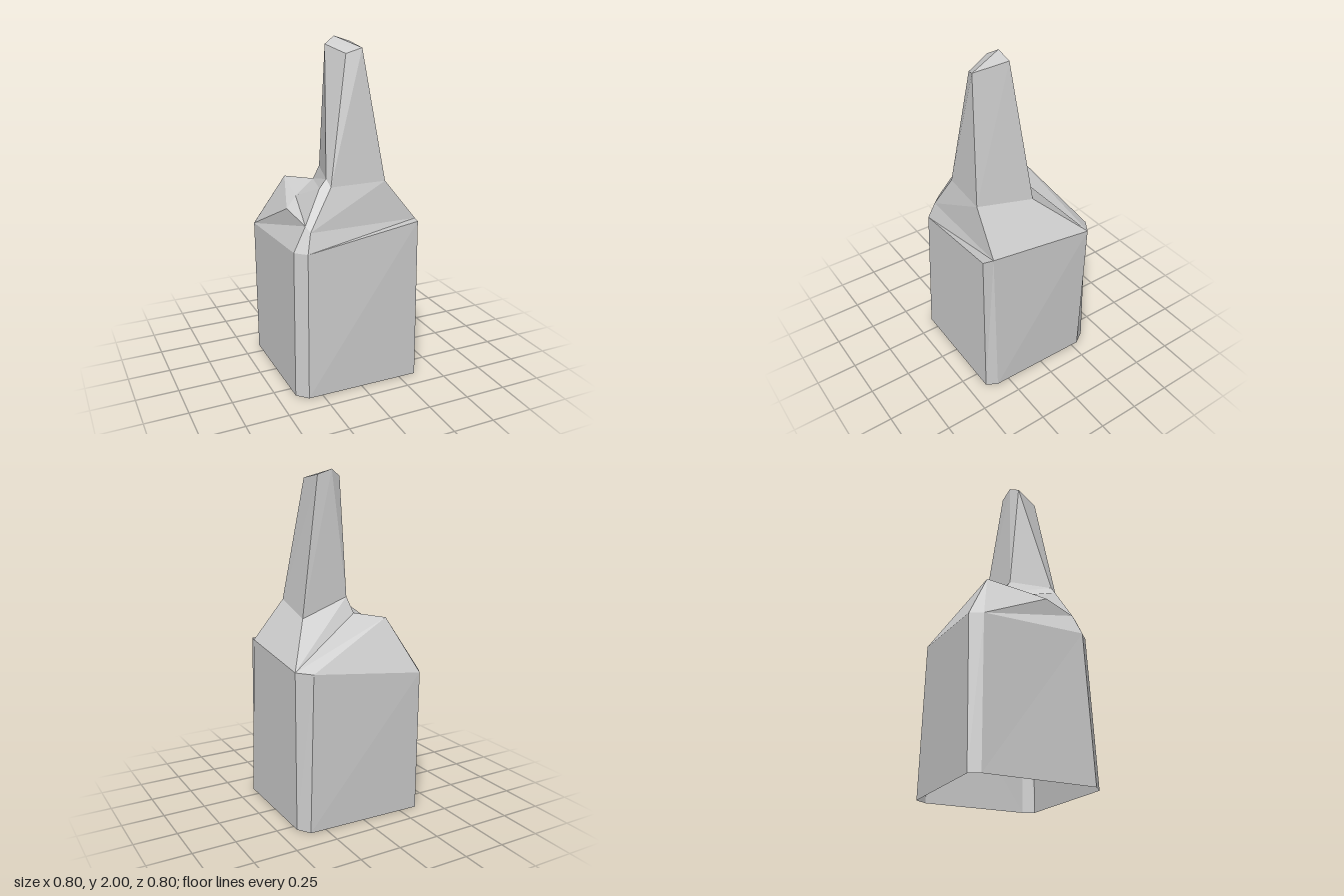
import * as THREE from 'three';

const material = new THREE.MeshStandardMaterial({ color: 0xcccccc, flatShading: true, side: THREE.DoubleSide });

// Faceted mesh from polygons (each a loop of corners, fanned into triangles)
function facets(name, polygons) {
  const points = [];
  for (const p of polygons) {
    for (let i = 1; i < p.length - 1; i++) points.push(...p[0], ...p[i], ...p[i + 1]);
  }
  const geometry = new THREE.BufferGeometry();
  geometry.setAttribute('position', new THREE.Float32BufferAttribute(points, 3));
  geometry.computeVertexNormals();
  const mesh = new THREE.Mesh(geometry, material);
  mesh.name = name;
  return mesh;
}

// Quads joining a lower ring to an upper ring
const walls = (low, high) => low.map((p, i) => {
  const j = (i + 1) % low.length;
  return [p, low[j], high[j], high[i]];
});

export function createModel() {
  const group = new THREE.Group();
  group.name = 'bottle';

  // Chamfered square body: base ring and uneven top ring, counterclockwise from the front left
  const base = [[0.355, 0.395], [0.39, 0.33], [0.395, -0.295], [0.345, -0.37],
    [-0.36, -0.39], [-0.395, -0.33], [-0.395, 0.33], [-0.335, 0.39]].map(([x, z]) => [x, 0, z]);
  const rim = {
    frontL: [0.345, 0.98, 0.39], sideLF: [0.36, 0.98, 0.33],
    sideLB: [0.4, 0.93, -0.305], backL: [0.315, 0.92, -0.36],
    backR: [-0.36, 0.85, -0.4], sideRB: [-0.4, 0.85, -0.33],
    sideRF: [-0.38, 0.87, 0.3], frontR: [-0.32, 0.87, 0.36],
  };
  group.add(facets('body', walls(base, Object.values(rim))));

  // Five-sided tapering neck
  const neck = {
    frontL: [0.17, 1.22, 0.31], backL: [0.213, 1.16, -0.038], back: [-0.095, 1.26, -0.01],
    backR: [-0.16, 1.25, 0.24], frontR: [-0.148, 1.21, 0.28],
  };
  const top = [[0.052, 1.95, 0.243], [0.075, 1.97, 0.03], [-0.02, 2, 0.033],
    [-0.087, 1.96, 0.06], [-0.03, 1.92, 0.212]];
  group.add(facets('neck', walls(Object.values(neck), top)));
  group.add(facets('cap', [top]));

  // Irregular shoulder with a jagged notch on the right
  const ledge = [-0.29, 0.98, 0.325];
  const hump = [-0.23, 1.16, -0.23];
  const notchIn = [-0.11, 1.17, -0.07];
  const spike = [-0.2, 1.2, 0.24];
  const notchOut = [-0.262, 1.11, 0.035];
  const tooth = [-0.34, 1.06, 0.095];
  const corner = [-0.305, 1.01, 0.288];
  group.add(facets('shoulder', [
    // left and back slopes
    [rim.sideLF, rim.sideLB, neck.backL, neck.frontL],
    [rim.sideLB, neck.back, neck.backL],
    [rim.sideLB, rim.backL, hump],
    [rim.sideLB, hump, notchIn],
    [rim.sideLB, notchIn, neck.back],
    [rim.backL, rim.backR, hump],
    // right slopes
    [rim.backR, rim.sideRB, hump],
    [rim.sideRB, tooth, hump],
    [rim.sideRB, corner, tooth],
    [rim.sideRB, rim.sideRF, corner],
    // jagged notch
    [hump, tooth, notchOut],
    [hump, notchOut, notchIn],
    [notchIn, notchOut, spike],
    [notchOut, tooth, corner],
    [notchOut, corner, spike],
    [notchIn, spike, neck.backR],
    [notchIn, neck.backR, neck.back],
    // front slopes
    [rim.sideRF, rim.frontR, ledge, corner],
    [corner, ledge, neck.frontR, spike],
    [spike, neck.frontR, neck.backR],
    [rim.frontR, rim.frontL, rim.sideLF, ledge],
    [ledge, rim.sideLF, neck.frontL],
    [ledge, neck.frontL, neck.frontR],
  ]));
  return group;
}
